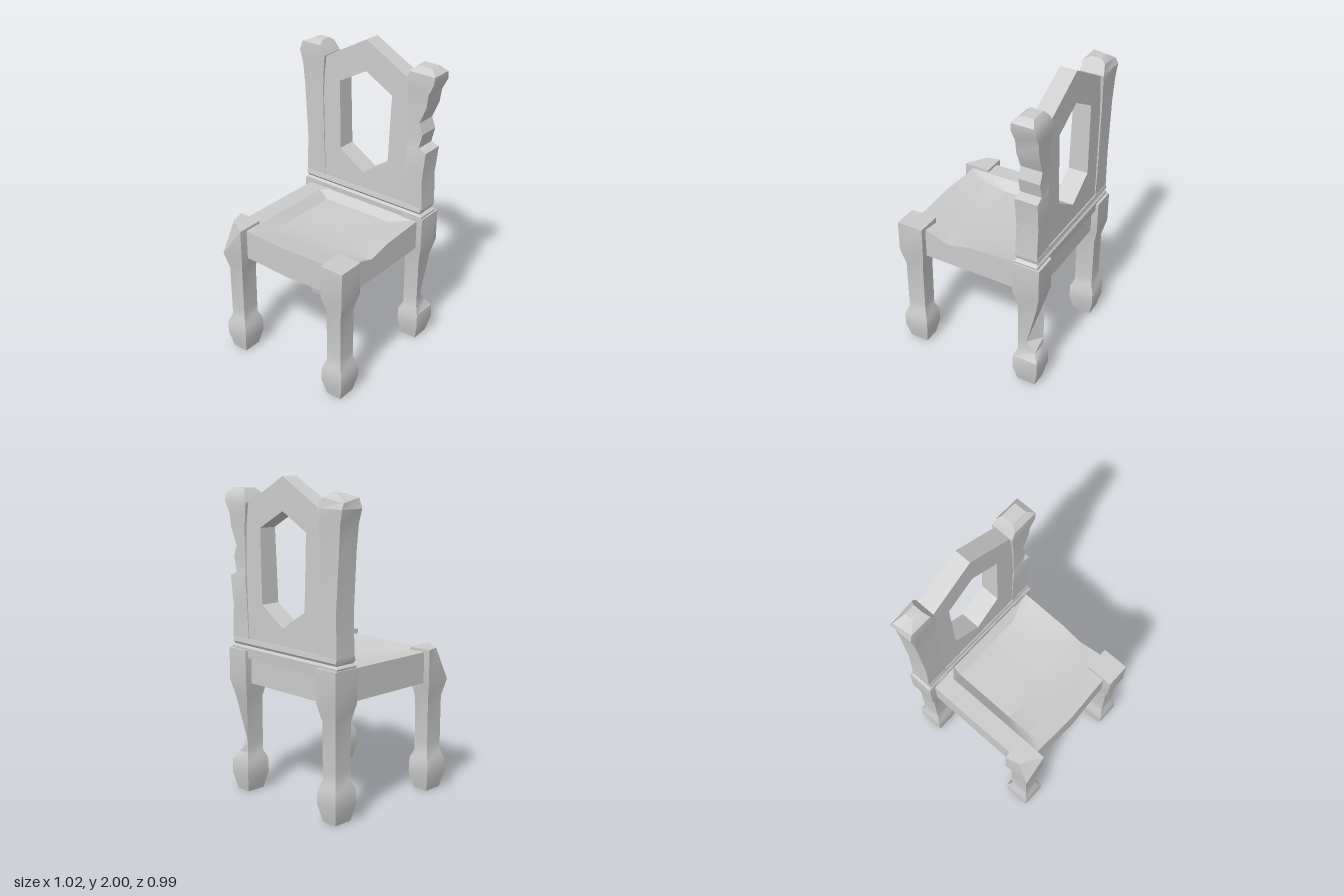
import * as THREE from 'three';
import { toCreasedNormals } from 'three/addons/utils/BufferGeometryUtils.js';

const material = new THREE.MeshStandardMaterial({ color: 0xcccccc });

function addMesh(group, name, geometry) {
  const mesh = new THREE.Mesh(toCreasedNormals(geometry, 0.5), material);
  mesh.name = name;
  group.add(mesh);
}

// Stacks four-sided sections [y, x0, x1, z0, z1] into a closed solid.
// moved: { 'section,corner': [x, y, z] } replaces single corners (chips in the wood).
// Corners run front x0, front x1, back x1, back x0.
function loft(sections, moved = {}) {
  const points = [], index = [];
  sections.forEach(([y, x0, x1, z0, z1], s) => {
    [[x0, z1], [x1, z1], [x1, z0], [x0, z0]].forEach(([x, z], c) => {
      points.push(...(moved[`${s},${c}`] ?? [x, y, z]));
    });
    if (s === 0) return;
    for (let c = 0; c < 4; c++) {
      const a = (s - 1) * 4 + c, b = (s - 1) * 4 + (c + 1) % 4;
      index.push(a, b, b + 4, a, b + 4, a + 4);
    }
  });
  const t = (sections.length - 1) * 4;
  index.push(0, 2, 1, 0, 3, 2, t, t + 1, t + 2, t, t + 2, t + 3);
  const geometry = new THREE.BufferGeometry();
  geometry.setAttribute('position', new THREE.Float32BufferAttribute(points, 3));
  geometry.setIndex(index);
  return geometry;
}

// Leg profile: height, half width, half depth
const LEG = [
  [0, 0.052, 0.062], [0.11, 0.078, 0.086], [0.2, 0.075, 0.084], [0.255, 0.052, 0.062],
  [0.32, 0.052, 0.062], [0.61, 0.053, 0.063], [0.72, 0.079, 0.088], [0.93, 0.079, 0.088],
];

function leg(cx, cz, moved) {
  return loft(LEG.map(([y, w, d]) => [y, cx - w, cx + w, cz - d, cz + d]), moved);
}

// Solid seat with a dished top that opens towards the left side
function seatGeometry() {
  const xs = [-0.43, -0.31, -0.25, 0, 0.25, 0.435];
  const zs = [-0.45, -0.33, -0.27, 0, 0.15, 0.3, 0.44];
  const dishX = [0, 0, 1, 1, 1];
  const dishZ = [0, 0, 0.9, 1, 1, 0.6, 0.1];
  const leftEdge = [0, 0, 0.1, 0.35, 1, 0.1, 0];
  const geometry = new THREE.BoxGeometry(1, 1, 1, xs.length - 1, 1, zs.length - 1);
  const p = geometry.attributes.position;
  for (let n = 0; n < p.count; n++) {
    const i = Math.round((p.getX(n) + 0.5) * (xs.length - 1));
    const j = Math.round((p.getZ(n) + 0.5) * (zs.length - 1));
    const dip = i === xs.length - 1 ? leftEdge[j] : dishX[i] * dishZ[j];
    const bow = j === zs.length - 1 && i === 3 ? 0.013 : 0;
    p.setXYZ(n, xs[i], p.getY(n) > 0 ? 0.912 - 0.055 * dip : 0.715, zs[j] + bow);
  }
  return geometry;
}

// Peaked back panel with a six-sided opening, thinner towards the top
function panelGeometry() {
  const outline = [[-0.45, 0.98], [0.43, 0.98], [0.41, 1.5], [0.42, 1.77], [0.31, 1.83],
    [0, 2], [-0.31, 1.83], [-0.45, 1.76]];
  const opening = [[0, 1.8], [-0.2, 1.69], [-0.19, 1.23], [0, 1.11], [0.185, 1.23], [0.2, 1.69]];
  const toVectors = (list) => list.map(([x, y]) => new THREE.Vector2(x, y));
  const shape = new THREE.Shape(toVectors(outline));
  shape.holes.push(new THREE.Path(toVectors(opening)));
  const geometry = new THREE.ExtrudeGeometry(shape, { depth: 1, bevelEnabled: false });
  const p = geometry.attributes.position;
  for (let n = 0; n < p.count; n++) {
    const half = THREE.MathUtils.mapLinear(p.getY(n), 0.98, 2, 0.067, 0.054);
    p.setZ(n, -0.4 + (p.getZ(n) - 0.5) * 2 * half);
  }
  return geometry;
}

export function createModel() {
  const chair = new THREE.Group();
  chair.name = 'chair';

  // Legs, two of them chipped
  addMesh(chair, 'frontLegRight', leg(-0.395, 0.407, { '7,0': [-0.45, 0.93, 0.41] }));
  addMesh(chair, 'frontLegLeft', leg(0.395, 0.407));
  addMesh(chair, 'backLegRight', leg(-0.395, -0.407));
  addMesh(chair, 'backLegLeft', leg(0.395, -0.407, {
    '3,2': [0.435, 0.25, -0.46], '4,2': [0.435, 0.32, -0.4],
  }));

  addMesh(chair, 'seat', seatGeometry());

  // Moulded rail between the seat and the back
  addMesh(chair, 'backRail', loft([
    [0.88, -0.46, 0.455, -0.475, -0.325],
    [0.942, -0.47, 0.465, -0.478, -0.322],
    [0.956, -0.455, 0.445, -0.468, -0.334],
    [0.972, -0.462, 0.452, -0.478, -0.322],
    [1.002, -0.462, 0.452, -0.474, -0.328],
  ]));

  addMesh(chair, 'backPanel', panelGeometry());

  // Back posts with faceted knobs
  addMesh(chair, 'backPostRight', loft([
    [0.99, -0.462, -0.31, -0.472, -0.33],
    [1.25, -0.456, -0.32, -0.472, -0.33],
    [1.6, -0.478, -0.33, -0.47, -0.332],
    [1.75, -0.49, -0.32, -0.474, -0.328],
    [1.835, -0.51, -0.31, -0.478, -0.322],
    [1.895, -0.49, -0.345, -0.465, -0.325],
    [1.918, -0.43, -0.36, -0.43, -0.37],
  ], { '5,3': [-0.505, 1.87, -0.46] }));

  // The left post has a deep notch on its outer side
  addMesh(chair, 'backPostLeft', loft([
    [0.99, 0.31, 0.46, -0.472, -0.33],
    [1.2, 0.32, 0.45, -0.472, -0.33],
    [1.385, 0.33, 0.47, -0.474, -0.328],
    [1.405, 0.33, 0.415, -0.47, -0.332],
    [1.5, 0.33, 0.438, -0.47, -0.332],
    [1.57, 0.33, 0.412, -0.47, -0.332],
    [1.68, 0.33, 0.458, -0.472, -0.33],
    [1.76, 0.32, 0.468, -0.474, -0.328],
    [1.835, 0.31, 0.505, -0.478, -0.322],
    [1.885, 0.335, 0.51, -0.465, -0.325],
    [1.918, 0.36, 0.465, -0.44, -0.36],
  ]));

  return chair;
}
